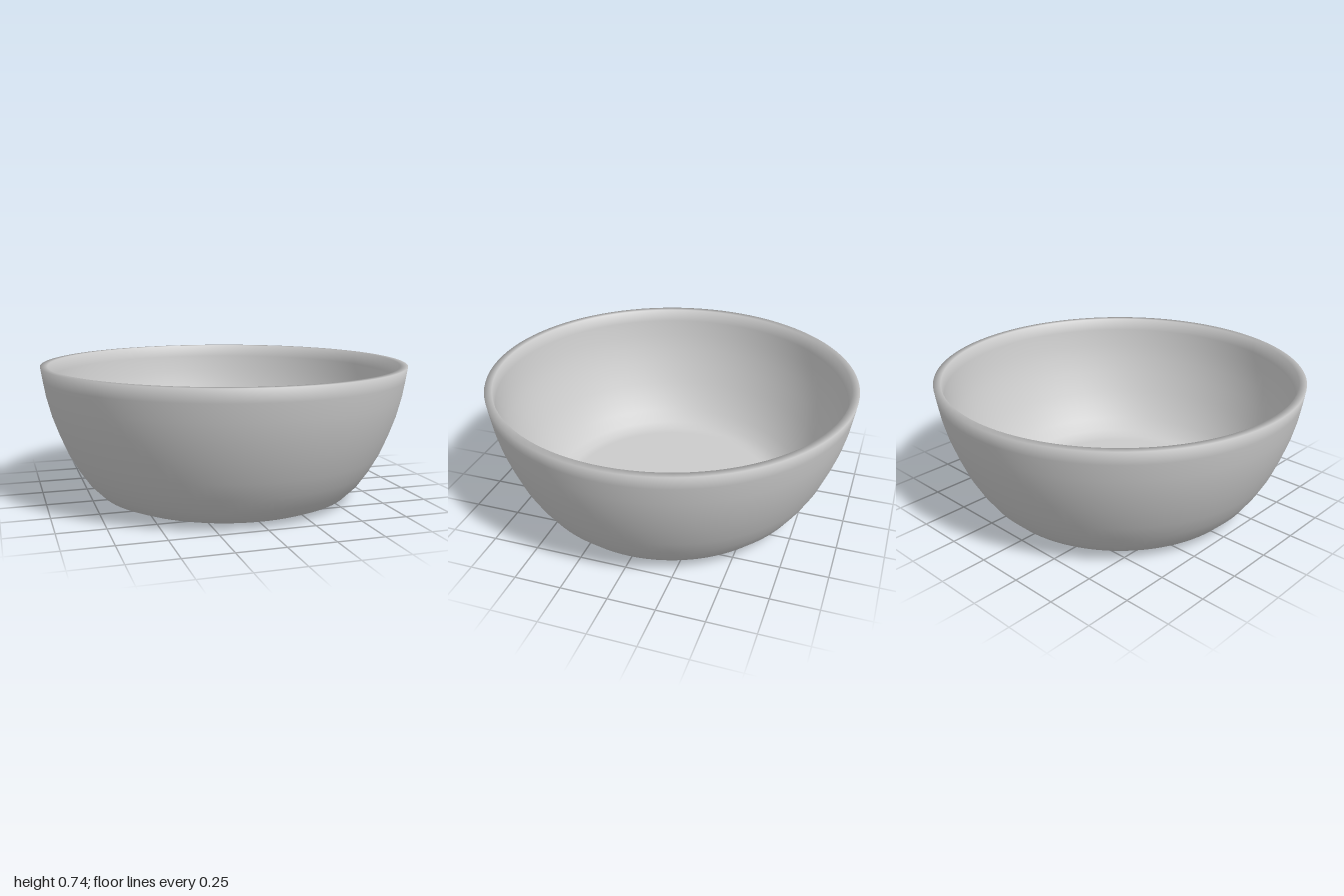
import * as THREE from 'three';

export function createModel() {
  const model = new THREE.Group();
  const material = new THREE.MeshStandardMaterial({ color: 0xcccccc });

  // Closed wall section: underside, outer wall, flat rim, inner wall, inner floor
  const outer = [
    [0, 0], [0.6, 0], [0.64, 0.01], [0.7, 0.035], [0.765, 0.1], [0.82, 0.18],
    [0.87, 0.27], [0.915, 0.38], [0.95, 0.48], [0.975, 0.58], [0.99, 0.67], [1, 0.74],
  ];
  const inner = [
    [0.96, 0.74], [0.95, 0.67], [0.935, 0.58], [0.91, 0.485], [0.877, 0.395],
    [0.833, 0.29], [0.785, 0.203], [0.735, 0.13], [0.68, 0.07], [0.63, 0.048],
    [0.59, 0.04], [0, 0.04],
  ];
  const profile = [...outer, ...inner].map(([r, y]) => new THREE.Vector2(r, y));

  const bowl = new THREE.Mesh(new THREE.LatheGeometry(profile, 96), material);
  bowl.name = 'bowl';
  model.add(bowl);
  return model;
}
